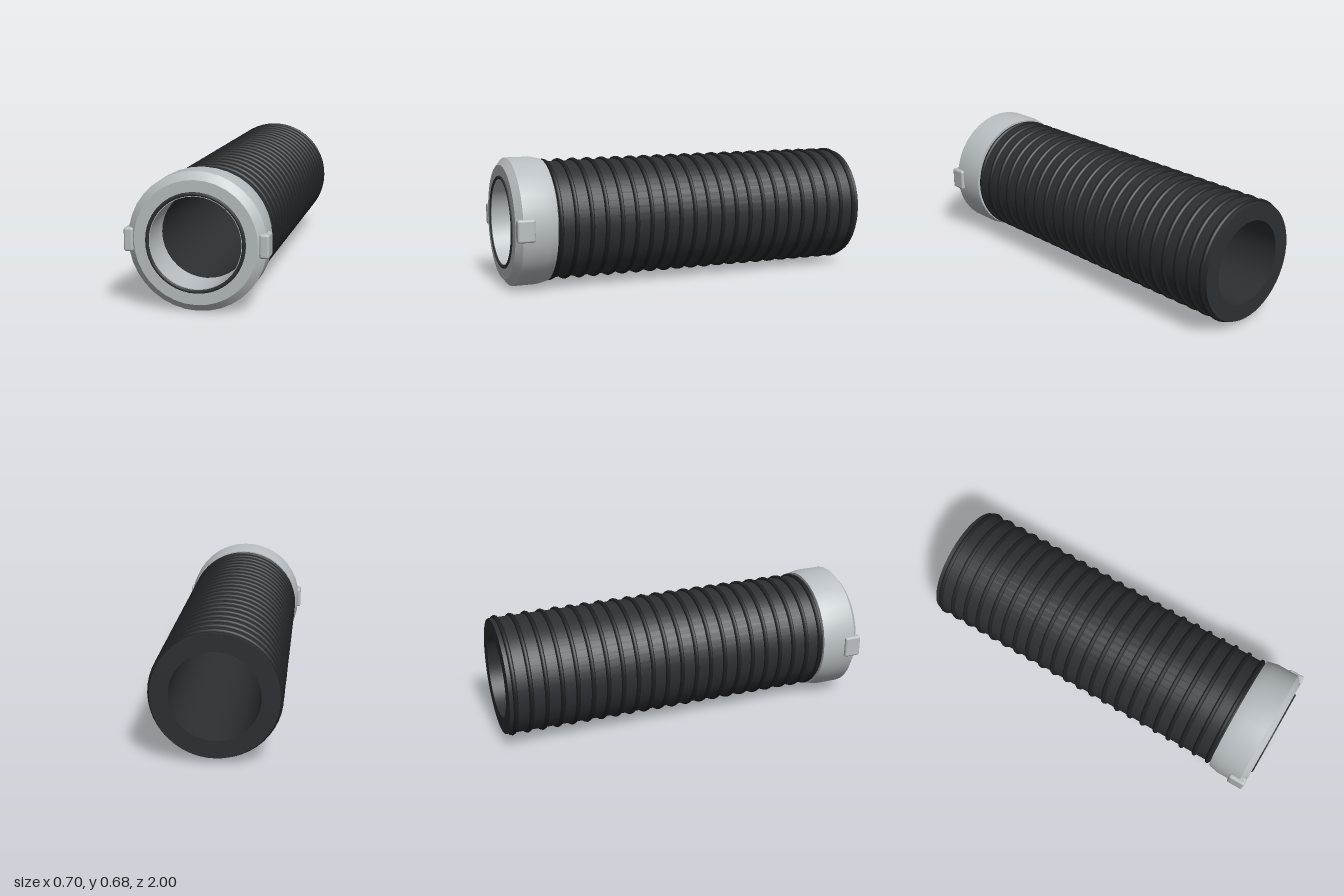
import * as THREE from 'three';
import { toCreasedNormals } from 'three/addons/utils/BufferGeometryUtils.js';
import { RoundedBoxGeometry } from 'three/addons/geometries/RoundedBoxGeometry.js';

const AXIS_Y = 0.34;

// Closed ring of revolution about the z axis, from [radius, z] points:
// outside back to front, then inside front to back.
function ring(points, segments) {
  const profile = [...points, points[0]].map(([r, z]) => new THREE.Vector2(r, z));
  const geometry = new THREE.LatheGeometry(profile, segments).rotateX(Math.PI / 2);
  return toCreasedNormals(geometry, 0.5);
}

export function createModel() {
  const model = new THREE.Group();
  model.name = 'ribbedHose';
  const body = new THREE.Group();
  body.name = 'hoseAssembly';
  body.position.y = AXIS_Y;
  model.add(body);

  const metal = new THREE.MeshStandardMaterial({ color: 0xb8bec2 });
  const rubber = new THREE.MeshStandardMaterial({ color: 0x2c3033 });
  const darkRubber = new THREE.MeshStandardMaterial({ color: 0x1e2123 });

  const add = (name, geometry, material, parent = body) => {
    const mesh = new THREE.Mesh(geometry, material);
    mesh.name = name;
    parent.add(mesh);
    return mesh;
  };

  // Thick-walled hose
  add('hoseTube', ring([[0.309, -1], [0.309, 0.79], [0.22, 0.79], [0.22, -1]], 48), rubber);

  // Evenly spaced ribs around the hose
  const ribs = new THREE.Group();
  ribs.name = 'ribs';
  body.add(ribs);
  const ribGeometry = new THREE.TorusGeometry(0.31, 0.0125, 8, 48);
  for (let i = 0; i < 22; i++) {
    add('rib', ribGeometry, darkRubber, ribs).position.z = 0.757 - i * 0.0821;
  }

  // Coupling collar with a front chamfer and a tapered back
  add('collar', ring([
    [0.325, 0.778], [0.3375, 0.835], [0.3375, 0.96], [0.3, 0.992],
    [0.2225, 0.992], [0.2225, 0.778],
  ], 36), metal);

  // Sealing ring set into the collar mouth
  add('seal', new THREE.TorusGeometry(0.2345, 0.0095, 10, 48), rubber).position.z = 0.9905;

  // Locking lugs on both sides
  for (const side of [1, -1]) {
    const lug = add('lug', new RoundedBoxGeometry(0.048, 0.116, 0.092, 3, 0.012), metal);
    lug.position.set(side * 0.328, 0, 0.947);
  }

  return model;
}
